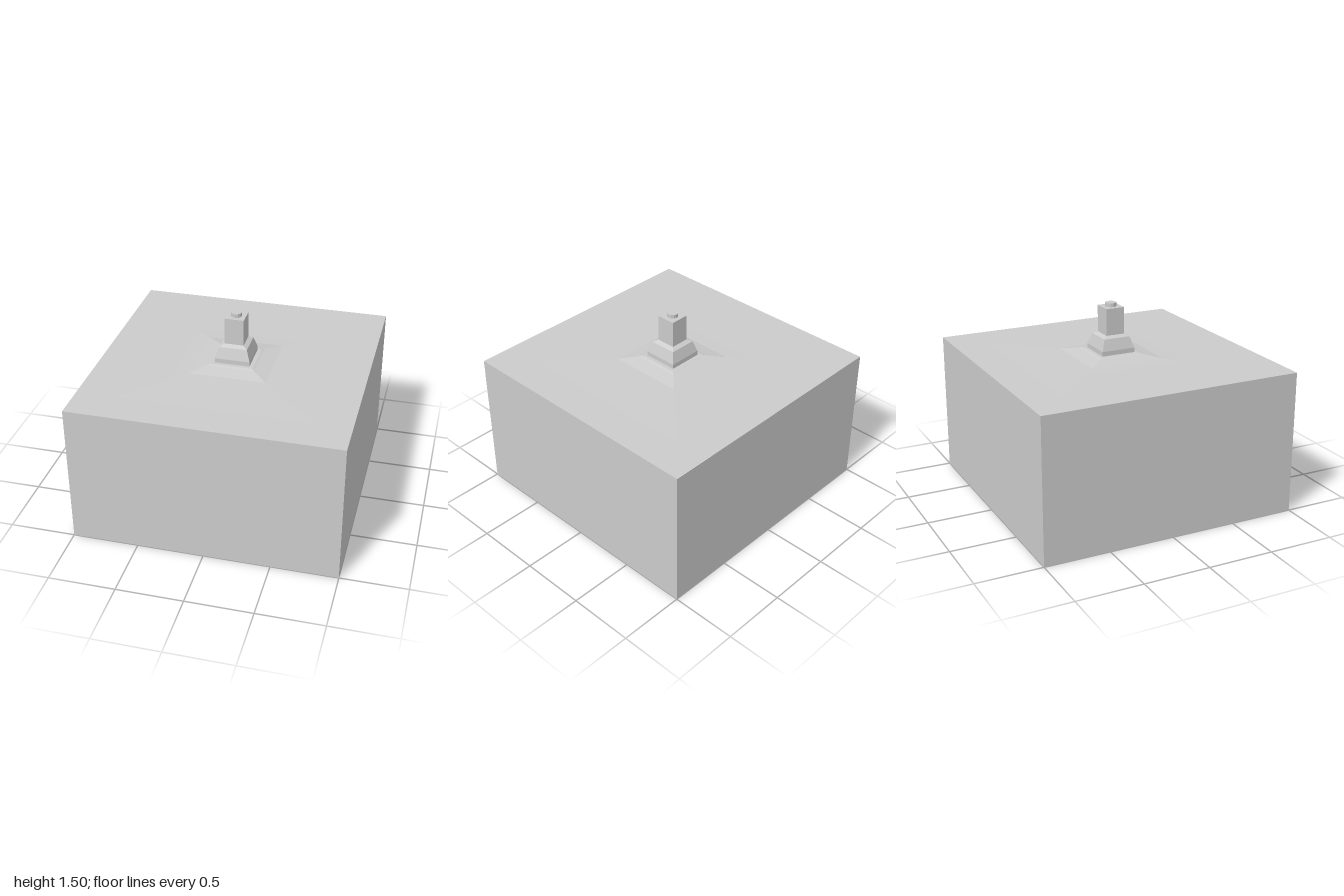
import * as THREE from 'three';

const material = new THREE.MeshStandardMaterial({ color: 0xcccccc, flatShading: true });

function addPart(group, name, geometry, y = 0) {
  const mesh = new THREE.Mesh(geometry, material);
  mesh.name = name;
  mesh.position.y = y;
  group.add(mesh);
}

// Square solid from a bottom-to-top profile of [half width, height]
function squareLoft(profile) {
  const points = profile.map(([half, y]) => new THREE.Vector2(half * Math.SQRT2, y));
  const geometry = new THREE.LatheGeometry(points, 4, Math.PI / 4).toNonIndexed();
  geometry.computeVertexNormals();
  return geometry;
}

export function createModel() {
  const group = new THREE.Group();
  group.name = 'towerOnBlock';

  // Large ground block
  addPart(group, 'groundBlock', new THREE.BoxGeometry(2, 1.09, 2), 0.545);

  // Gentle mound rising to a small terrace
  addPart(group, 'mound', squareLoft([
    [0.73, 1.09], [0.4, 1.093], [0.29, 1.097], [0.18, 1.118], [0.16, 1.125], [0, 1.125],
  ]));

  // Plinth with a vertical foot, battered sides and a chamfered top
  addPart(group, 'plinth', squareLoft([
    [0.132, 1.12], [0.132, 1.16], [0.105, 1.245], [0.073, 1.262], [0, 1.262],
  ]));

  // Square shaft
  addPart(group, 'shaft', new THREE.BoxGeometry(0.146, 0.21, 0.146), 1.362);

  // Round cap
  addPart(group, 'cap', new THREE.CylinderGeometry(0.042, 0.042, 0.035, 12), 1.479);

  return group;
}
